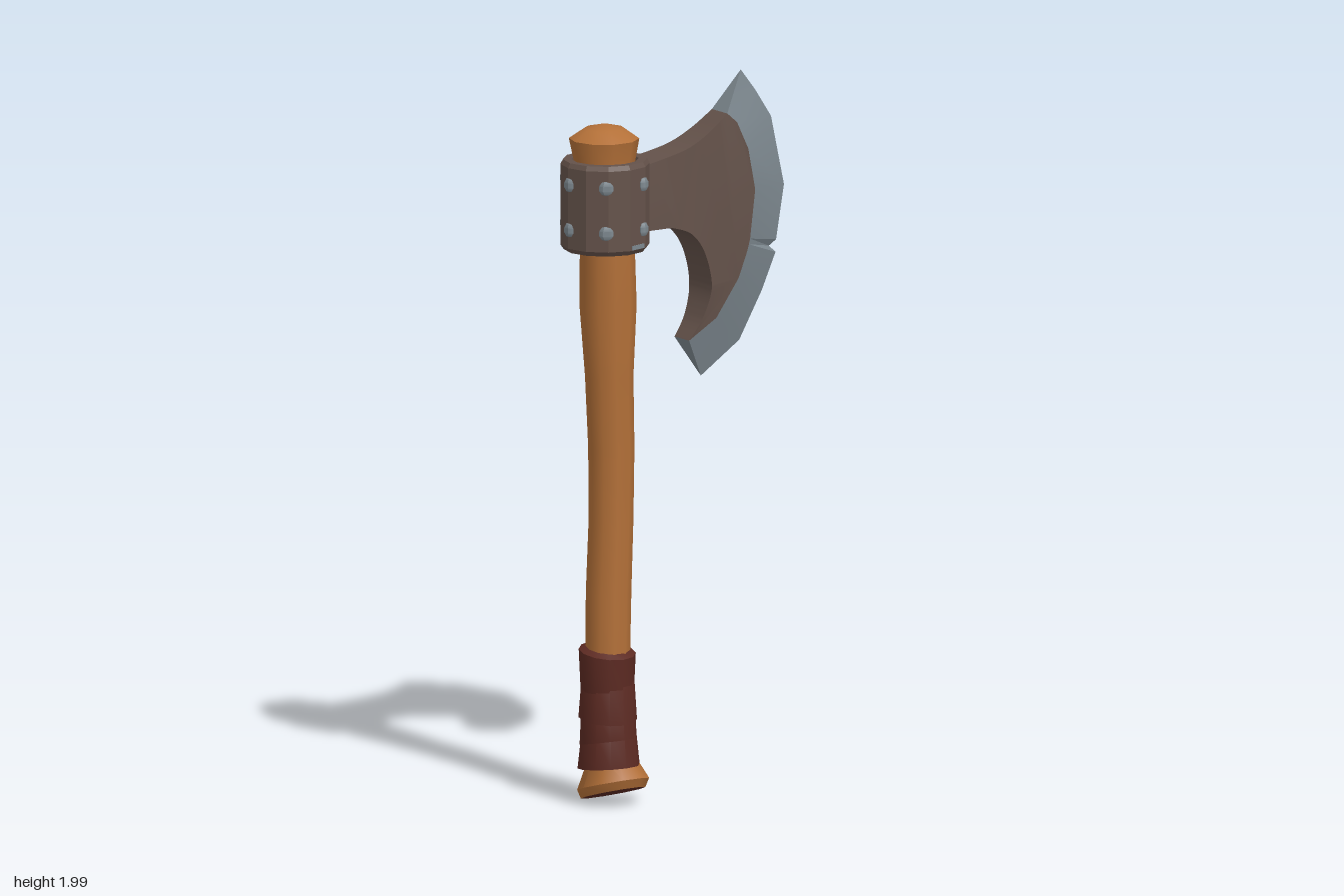
import * as THREE from 'three';
import { toCreasedNormals } from 'three/addons/utils/BufferGeometryUtils.js';

const mat = (name, color, extra = {}) => Object.assign(new THREE.MeshStandardMaterial({ color, ...extra }), { name });

// Surface through rings [x, y, radius, slopeZ, slopeX] listed from bottom to top
function loft(rings, sides, crease) {
  const pos = [], idx = [];
  for (const [x, y, r, sz = 0, sx = 0] of rings) {
    for (let j = 0; j < sides; j++) {
      const a = (j / sides) * Math.PI * 2;
      const dx = r * Math.cos(a), dz = r * Math.sin(a);
      pos.push(x + dx, y + sz * dz + sx * dx, dz);
    }
  }
  for (let i = 0; i < rings.length - 1; i++) {
    for (let j = 0; j < sides; j++) {
      const k = (j + 1) % sides;
      const a = i * sides + j, b = i * sides + k, c = a + sides, d = b + sides;
      if (rings[i + 1][2] > 0) idx.push(a, c, d);
      if (rings[i][2] > 0) idx.push(a, d, b);
    }
  }
  const g = new THREE.BufferGeometry();
  g.setAttribute('position', new THREE.Float32BufferAttribute(pos, 3));
  g.setIndex(idx);
  return toCreasedNormals(g, crease);
}

// Half thickness of the blade body, thinner towards both horns
const halfThickness = (y) => {
  const over = Math.max(0, y - 1.76) / 0.13, under = Math.max(0, 1.42 - y) / 0.145;
  return 0.055 - 0.018 * Math.min(1, over) - 0.02 * Math.min(1, under);
};

// Line where the dark body meets the steel bevel, and the cutting edge beside it
const bevelLine = [[0.145, 1.892], [0.175, 1.865], [0.205, 1.79], [0.225, 1.675], [0.208, 1.54],
  [0.204, 1.525], [0.198, 1.505], [0.17, 1.435], [0.105, 1.33], [0.02, 1.275]];
const cuttingEdge = [[0.215, 2.0], [0.262, 1.94], [0.315, 1.86], [0.358, 1.665], [0.332, 1.515],
  [0.308, 1.5], [0.33, 1.48], [0.285, 1.38], [0.21, 1.25], [0.083, 1.165]];

function bladeBody() {
  const s = new THREE.Shape();
  s.moveTo(-0.15, 1.6);
  s.lineTo(-0.05, 1.6);
  s.splineThru([[0.015, 1.575], [0.06, 1.515], [0.082, 1.42], [0.06, 1.335], [0.02, 1.275]]
    .map((p) => new THREE.Vector2(...p)));
  for (const p of bevelLine.slice(0, -1).reverse()) s.lineTo(...p);
  s.splineThru([[0.077, 1.845], [0, 1.81], [-0.12, 1.785]].map((p) => new THREE.Vector2(...p)));
  s.lineTo(-0.15, 1.785);
  const g = new THREE.ExtrudeGeometry(s, { depth: 2, bevelEnabled: false, curveSegments: 10 });
  const p = g.attributes.position;
  for (let i = 0; i < p.count; i++) p.setZ(i, (p.getZ(i) - 1) * halfThickness(p.getY(i)));
  return toCreasedNormals(g, 0.5);
}

function bladeEdge() {
  const v = [];
  const B = (i, s) => [...bevelLine[i], s * halfThickness(bevelLine[i][1])];
  const E = (i) => [...cuttingEdge[i], 0];
  const tri = (a, b, c) => v.push(...a, ...b, ...c);
  const last = bevelLine.length - 1;
  for (let i = 0; i < last; i++) {
    tri(B(i, 1), B(i + 1, 1), E(i + 1));
    tri(B(i, 1), E(i + 1), E(i));
    tri(B(i, -1), E(i + 1), B(i + 1, -1));
    tri(B(i, -1), E(i), E(i + 1));
  }
  // Closing faces at the two horns
  tri(B(0, 1), E(0), B(0, -1));
  tri(B(last, 1), B(last, -1), E(last));
  const g = new THREE.BufferGeometry();
  g.setAttribute('position', new THREE.Float32BufferAttribute(v, 3));
  return toCreasedNormals(g, 0.25);
}

export function createModel() {
  const model = new THREE.Group();
  const wood = mat('wood', 0xb37038);
  const leather = mat('leather', 0x5c2a22);
  const iron = mat('darkIron', 0x64524a);
  const steel = mat('steel', 0x7d888f);
  const add = (name, geometry, material, parent = model) => {
    const m = new THREE.Mesh(geometry, material);
    m.name = name;
    parent.add(m);
    return m;
  };

  // Gently curved shaft, flared foot and rounded top knob
  add('handle', loft([
    [-0.207, 0.04, 0.088, 0.32], [-0.207, 0.065, 0.098, 0.3], [-0.212, 0.14, 0.064, 0.1],
    [-0.225, 0.42, 0.061], [-0.222, 0.6, 0.062], [-0.214, 0.8, 0.061], [-0.213, 1.0, 0.063],
    [-0.22, 1.2, 0.066], [-0.224, 1.4, 0.078], [-0.226, 1.55, 0.075], [-0.235, 1.78, 0.08],
    [-0.237, 1.862, 0.096], [-0.236, 1.89, 0.055], [-0.235, 1.903, 0],
  ], 10, 0.75), wood);
  add('handleFootFace', loft([[-0.207, 0.036, 0], [-0.207, 0.04, 0.088, 0.32]], 10, 0.5), leather);

  // Grip wrapping: overlapping tilted bands
  const grip = new THREE.Group();
  grip.name = 'gripWrap';
  model.add(grip);
  const bands = [
    [0.115, 0.21, 0.085, 0.076, 0.1, 0.2], [0.185, 0.28, 0.078, 0.074, 0.2, 0.1],
    [0.25, 0.36, 0.08, 0.073, -0.1, 0.2], [0.33, 0.447, 0.073, 0.078, -0.17, -0.04],
  ];
  bands.forEach(([y0, y1, r0, r1, s0, s1], i) => {
    const x = -0.222 - i * 0.0015;
    add('gripBand', loft([
      [x, y0, 0.06, s0], [x, y0, r0, s0], [x, y1 - 0.01, r1, s1 * (i < 3 ? 1 : 4)], [x, y1, 0.06, s1 * 4],
    ], 12, 0.6), leather, grip);
  });

  // Riveted collar
  const collar = new THREE.Group();
  collar.name = 'collar';
  collar.position.x = -0.234;
  model.add(collar);
  const profile = [[0.075, 1.555], [0.112, 1.555], [0.122, 1.568], [0.122, 1.792], [0.115, 1.805],
    [0.092, 1.805], [0.075, 1.76], [0.075, 1.555]].map((p) => new THREE.Vector2(...p));
  add('collarRing', toCreasedNormals(new THREE.LatheGeometry(profile, 12), 0.4), iron, collar);
  const rivet = toCreasedNormals(new THREE.SphereGeometry(0.021, 7, 5), 0.6);
  for (const deg of [62, 123, 180, 237, 298]) {
    const a = THREE.MathUtils.degToRad(deg);
    for (const y of [1.62, 1.745]) {
      const m = add('rivet', rivet, steel, collar);
      m.position.set(0.117 * Math.cos(a), y, 0.117 * Math.sin(a));
      m.rotation.y = -a;
      m.scale.x = 0.65;
    }
  }
  // Worn bare patch on the collar rim
  const wear = add('collarWear', new THREE.BoxGeometry(0.05, 0.012, 0.004), steel, collar);
  wear.position.set(0.0305, 1.575, 0.114);
  wear.rotation.y = Math.PI / 12;

  // Blade
  add('bladeBody', bladeBody(), iron);
  add('bladeEdge', bladeEdge(), steel);
  return model;
}
